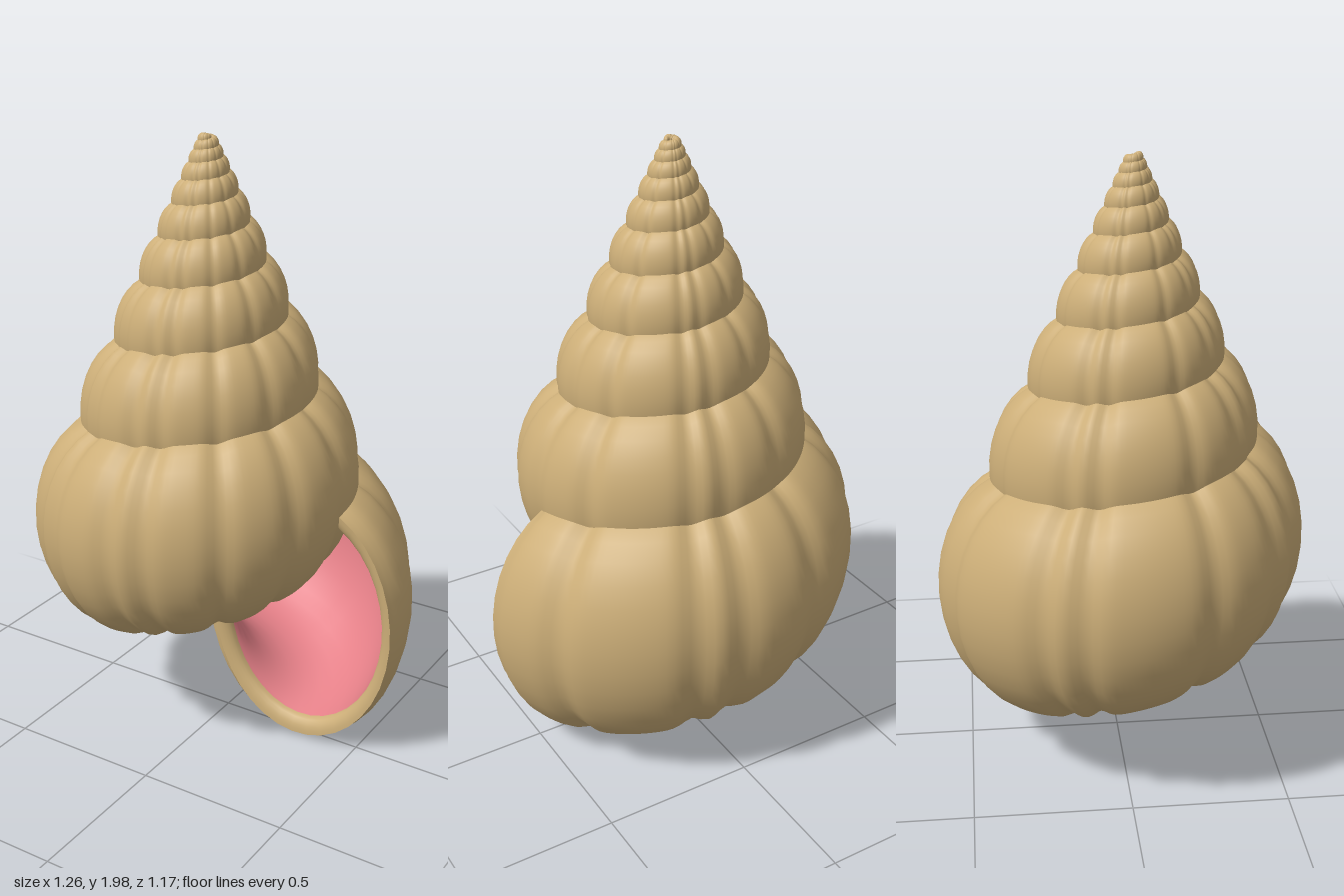
import * as THREE from 'three';

const AXIS_X = -0.045, AXIS_Z = 0.045, APEX_Y = 2.04; // coiling axis and its pole
const GROWTH = 0.72;                                   // size ratio per whorl, towards the apex
const TURNS = 10, SIDES = 36;
const SECTION = { r: 0.345, drop: 1.585, a: 0.335, b: 0.447, tilt: 0.05 };

// Point on the coiled tube: theta runs back from the mouth, phi around the tube
function coilPoint(theta, phi, scale) {
  const { r, drop, a, b, tilt } = SECTION;
  const k = Math.pow(GROWTH, theta / (2 * Math.PI));
  const u = a * Math.cos(phi) * scale, v = b * Math.sin(phi) * scale;
  const radius = k * (r + u * Math.cos(tilt) + v * Math.sin(tilt));
  const y = APEX_Y + k * (-drop + v * Math.cos(tilt) - u * Math.sin(tilt));
  return [AXIS_X + radius * Math.cos(theta), y, AXIS_Z - radius * Math.sin(theta)];
}

// Swollen ribs parted by narrow, uneven grooves, placed on steps of one whorl
const STEPS = 27;
const GROOVES = [0, 2, 5, 6, 8, 11, 12, 15, 17, 18, 20, 21, 23, 25];
function rib(theta) {
  const t = ((theta / (2 * Math.PI)) * STEPS) % STEPS;
  let groove = 0;
  for (const g of GROOVES) {
    const gap = Math.abs(t - g);
    const d = Math.min(gap, STEPS - gap);
    groove = Math.max(groove, Math.exp(-d * d * 9));
  }
  return 1.03 - 0.06 * groove;
}

// Skin of closed rings; flip turns the surface to face the other way
function skin(rows, pointAt, flip) {
  const pos = [], idx = [];
  for (let i = 0; i <= rows; i++) {
    for (let j = 0; j < SIDES; j++) pos.push(...pointAt(i / rows, (j / SIDES) * 2 * Math.PI));
  }
  for (let i = 0; i < rows; i++) {
    for (let j = 0; j < SIDES; j++) {
      const n = (j + 1) % SIDES;
      const a = i * SIDES + j, b = a + SIDES, c = i * SIDES + n, d = c + SIDES;
      if (flip) idx.push(a, c, b, c, d, b);
      else idx.push(a, b, c, c, b, d);
    }
  }
  const geo = new THREE.BufferGeometry();
  geo.setAttribute('position', new THREE.Float32BufferAttribute(pos, 3));
  geo.setIndex(idx);
  geo.computeVertexNormals();
  return geo;
}

export function createModel() {
  const tan = new THREE.MeshStandardMaterial({ color: 0xccae78 });
  tan.name = 'shellTan';
  const pink = new THREE.MeshStandardMaterial({ color: 0xe47f87 });
  pink.name = 'mouthPink';

  const group = new THREE.Group();
  group.name = 'spiralShell';
  const add = (name, geo, mat) => {
    const mesh = new THREE.Mesh(geo, mat);
    mesh.name = name;
    group.add(mesh);
  };

  // Ribbed whorls, tapering shut at the apex
  const total = TURNS * 2 * Math.PI;
  add('whorls', skin(TURNS * STEPS * 6, (t, phi) => {
    const theta = t * total;
    const taper = Math.sqrt(Math.min(1, (total - theta) / 1.5));
    return coilPoint(theta, phi, rib(theta) * taper);
  }, false), tan);

  // Rounded lip rolling from the outer edge into the mouth
  const outer = rib(0), inner = 0.845, depth = 0.035;
  add('lip', skin(6, (t, phi) => {
    const q = t * Math.PI / 2;
    const p = coilPoint(0, phi, outer + (inner - outer) * Math.sin(q));
    p[2] -= depth * (1 - Math.cos(q));
    return p;
  }, true), tan);

  // Smooth inner wall, winding back inside the last whorl
  add('innerWall', skin(90, (t, phi) => {
    const p = coilPoint(t * 5, phi, inner);
    p[2] -= depth * Math.max(0, 1 - t * 5);
    return p;
  }, true), pink);

  return group;
}
